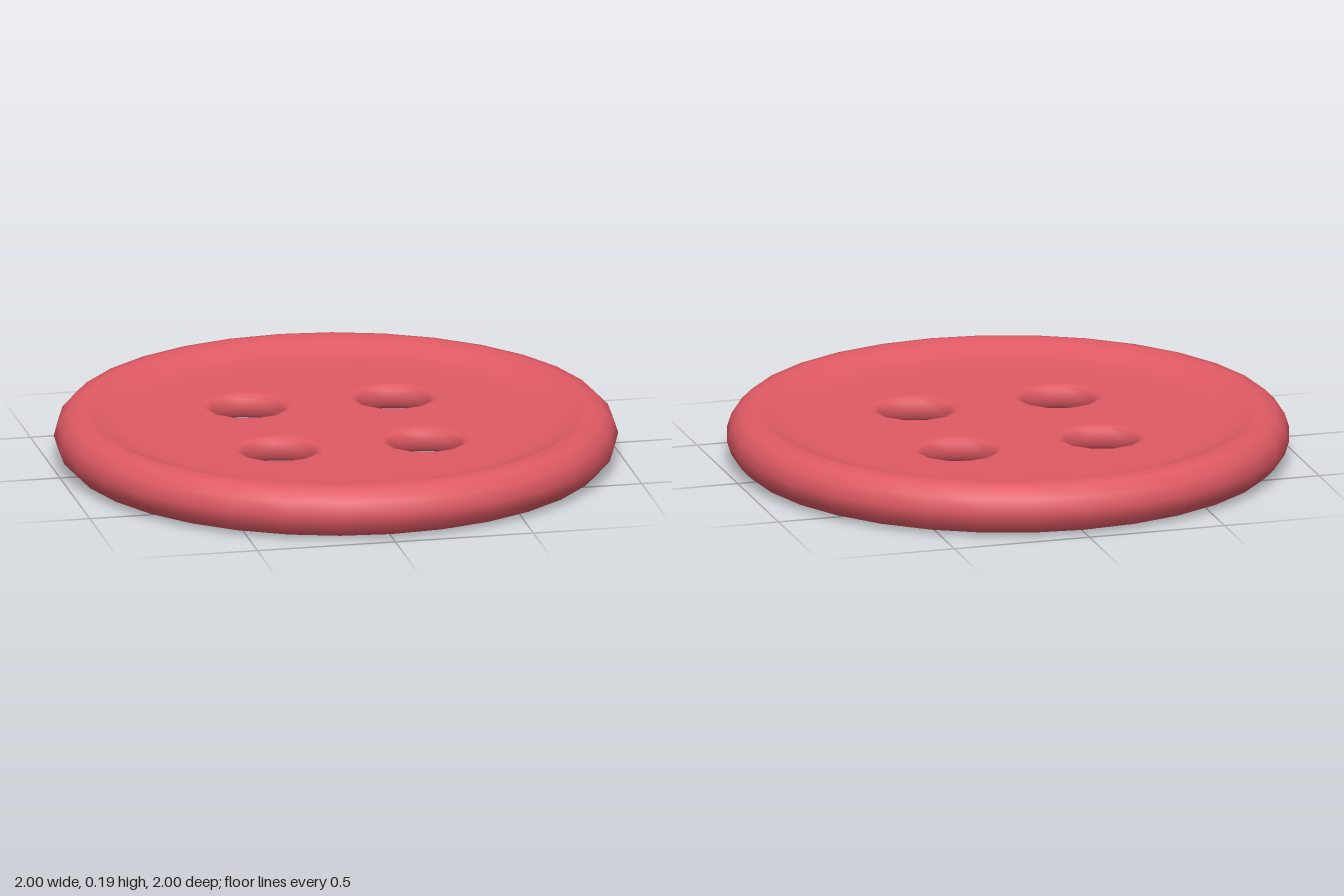
import * as THREE from 'three';
import { mergeGeometries, mergeVertices } from 'three/addons/utils/BufferGeometryUtils.js';

const TOP = 0.142, BOTTOM = 0.05;   // faces of the thin centre web
const WEB_RADIUS = 0.64, RIM_SIDES = 32;
const HOLE_RADIUS = 0.165, HOLE_SIDES = 12, HOLE_OFFSET = 0.265;
const holeCentres = [[1, 1], [1, -1], [-1, 1], [-1, -1]].map(([x, z]) => [x * HOLE_OFFSET, z * HOLE_OFFSET]);

const profile = (points) => points.map(([r, y]) => new THREE.Vector2(r, y));

function ring(cx, cy, radius, sides) {
  return Array.from({ length: sides }, (_, i) => {
    const a = (i / sides) * Math.PI * 2;
    return new THREE.Vector2(cx + radius * Math.cos(a), cy + radius * Math.sin(a));
  });
}

// Flat disc with four round openings, facing up (1) or down (-1)
function webFace(y, facing) {
  const shape = new THREE.Shape(ring(0, 0, WEB_RADIUS, RIM_SIDES));
  for (const [x, z] of holeCentres) shape.holes.push(new THREE.Path(ring(x, z, HOLE_RADIUS, HOLE_SIDES)));
  return new THREE.ShapeGeometry(shape).rotateX(-facing * Math.PI / 2).translate(0, y, 0);
}

export function createModel() {
  // Rounded raised rim, dished towards the web on both faces
  const rim = new THREE.LatheGeometry(profile([
    [WEB_RADIUS, BOTTOM], [0.75, 0.046], [0.81, 0.032], [0.86, 0.01], [0.905, 0],
    [0.95, 0.014], [0.985, 0.05], [1, 0.098], [0.985, 0.146], [0.95, 0.182],
    [0.905, 0.192], [0.86, 0.178], [0.81, 0.156], [0.75, 0.145], [WEB_RADIUS, TOP],
  ]), RIM_SIDES);

  // Thread holes with softly rounded lips
  const holes = holeCentres.map(([x, z]) => new THREE.LatheGeometry(profile([
    [HOLE_RADIUS, TOP], [0.145, 0.138], [0.131, 0.123], [0.126, 0.096],
    [0.131, 0.069], [0.145, 0.054], [HOLE_RADIUS, BOTTOM],
  ]), HOLE_SIDES).translate(x, 0, z));

  // Weld everything into one smooth skin
  const parts = [rim, ...holes, webFace(TOP, 1), webFace(BOTTOM, -1)];
  for (const part of parts) {
    part.deleteAttribute('uv');
    part.deleteAttribute('normal');
  }
  const skin = mergeVertices(mergeGeometries(parts), 1e-4);
  skin.computeVertexNormals();

  const button = new THREE.Mesh(skin, new THREE.MeshStandardMaterial({ color: 0xe05a64 }));
  button.name = 'button';
  const group = new THREE.Group();
  group.name = 'fourHoleButton';
  group.add(button);
  return group;
}
